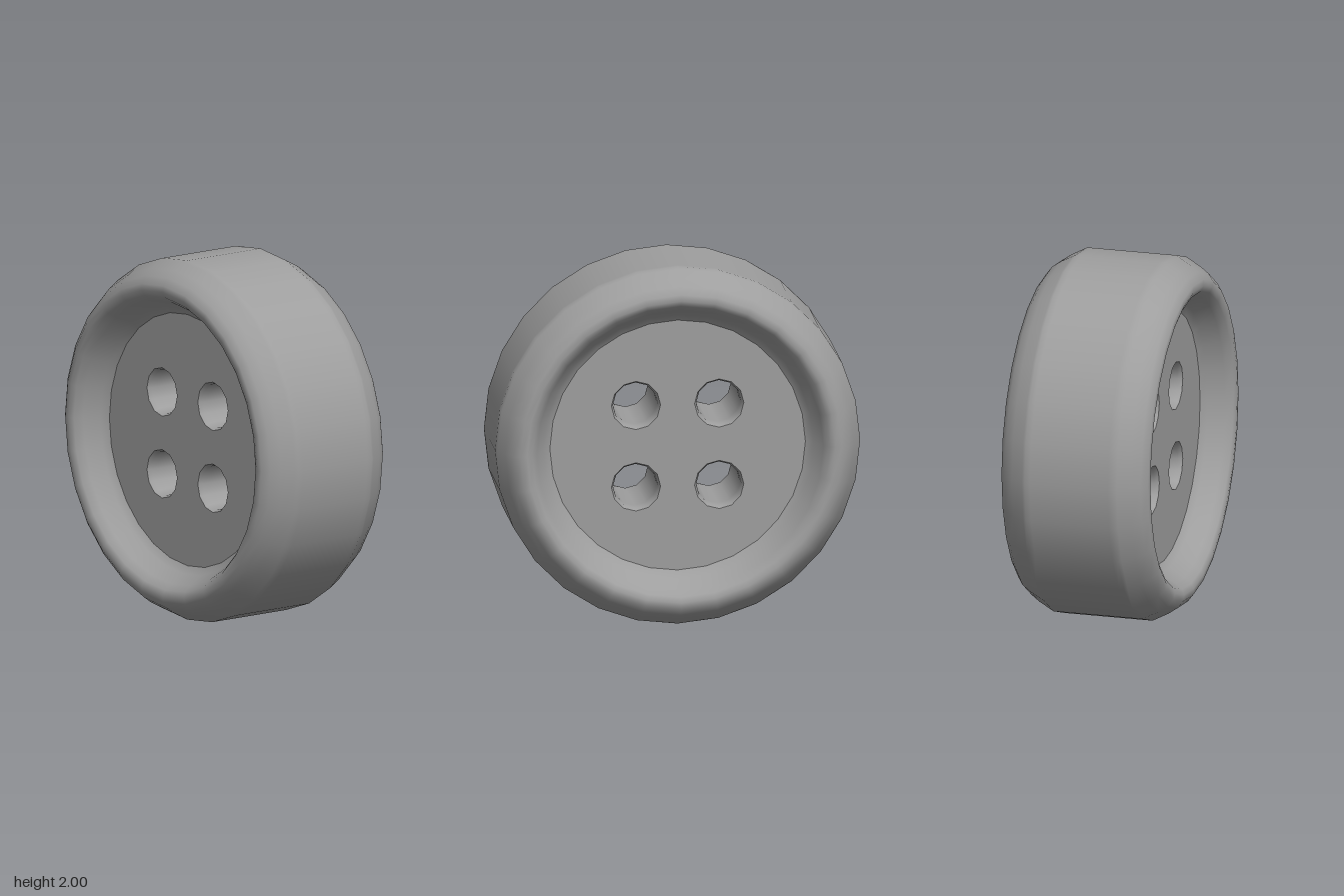
import * as THREE from 'three';

const SIDES = 28, HOLE_SIDES = 12;
const FLOOR = 0.25, FLOOR_R = 0.7, HOLE_R = 0.12, LIP_R = 0.135, HOLE_OFFSET = 0.228;

// Regular polygon outline
function ring(radius, sides, cx = 0, cy = 0) {
  return Array.from({ length: sides }, (_, i) => {
    const a = (i / sides) * Math.PI * 2;
    return new THREE.Vector2(cx + radius * Math.cos(a), cy + radius * Math.sin(a));
  });
}

// Lathe turned so its axis lies along x
function latheX(points, sides) {
  return new THREE.LatheGeometry(points.map(([r, x]) => new THREE.Vector2(r, x)), sides)
    .rotateZ(-Math.PI / 2);
}

export function createModel() {
  const grey = new THREE.MeshStandardMaterial({ color: 0x9e9e9e });
  grey.name = 'grey';
  const group = new THREE.Group();
  group.name = 'button';

  const add = (name, geometry, y = 1, z = 0) => {
    const mesh = new THREE.Mesh(geometry, grey);
    mesh.name = name;
    mesh.position.set(0, y, z);
    group.add(mesh);
  };

  // Thick rim: recess slope, rounded lip, chamfer and wide outer band
  const half = [
    [FLOOR_R, FLOOR], [0.74, 0.28], [0.785, 0.365], [0.815, 0.405], [0.845, 0.418],
    [0.88, 0.415], [0.92, 0.385], [0.955, 0.335], [0.99, 0.268], [1, 0.25], [1, 0.22],
  ];
  const profile = [
    ...half.map(([r, x]) => [r, -x]),
    ...half.slice().reverse(),
  ];
  add('rim', latheX(profile, SIDES));

  // Recessed faces pierced by four holes
  const spots = [[1, 1], [1, -1], [-1, 1], [-1, -1]].map(([a, b]) => [a * HOLE_OFFSET, b * HOLE_OFFSET]);
  const shape = new THREE.Shape(ring(FLOOR_R, SIDES));
  for (const [z, y] of spots) shape.holes.push(new THREE.Path(ring(LIP_R, HOLE_SIDES, z, y)));
  for (const side of [1, -1]) {
    const face = new THREE.ShapeGeometry(shape)
      .translate(0, 0, FLOOR)
      .rotateY((side * Math.PI) / 2);
    add(side > 0 ? 'leftFace' : 'rightFace', face);
  }

  // Hole walls with softly worn edges
  const wall = [[LIP_R, FLOOR], [0.123, 0.225], [HOLE_R, 0.18],
    [HOLE_R, -0.18], [0.123, -0.225], [LIP_R, -FLOOR]];
  spots.forEach(([z, y], i) => add(`threadHole${i + 1}`, latheX(wall, HOLE_SIDES), 1 + y, z));

  return group;
}
